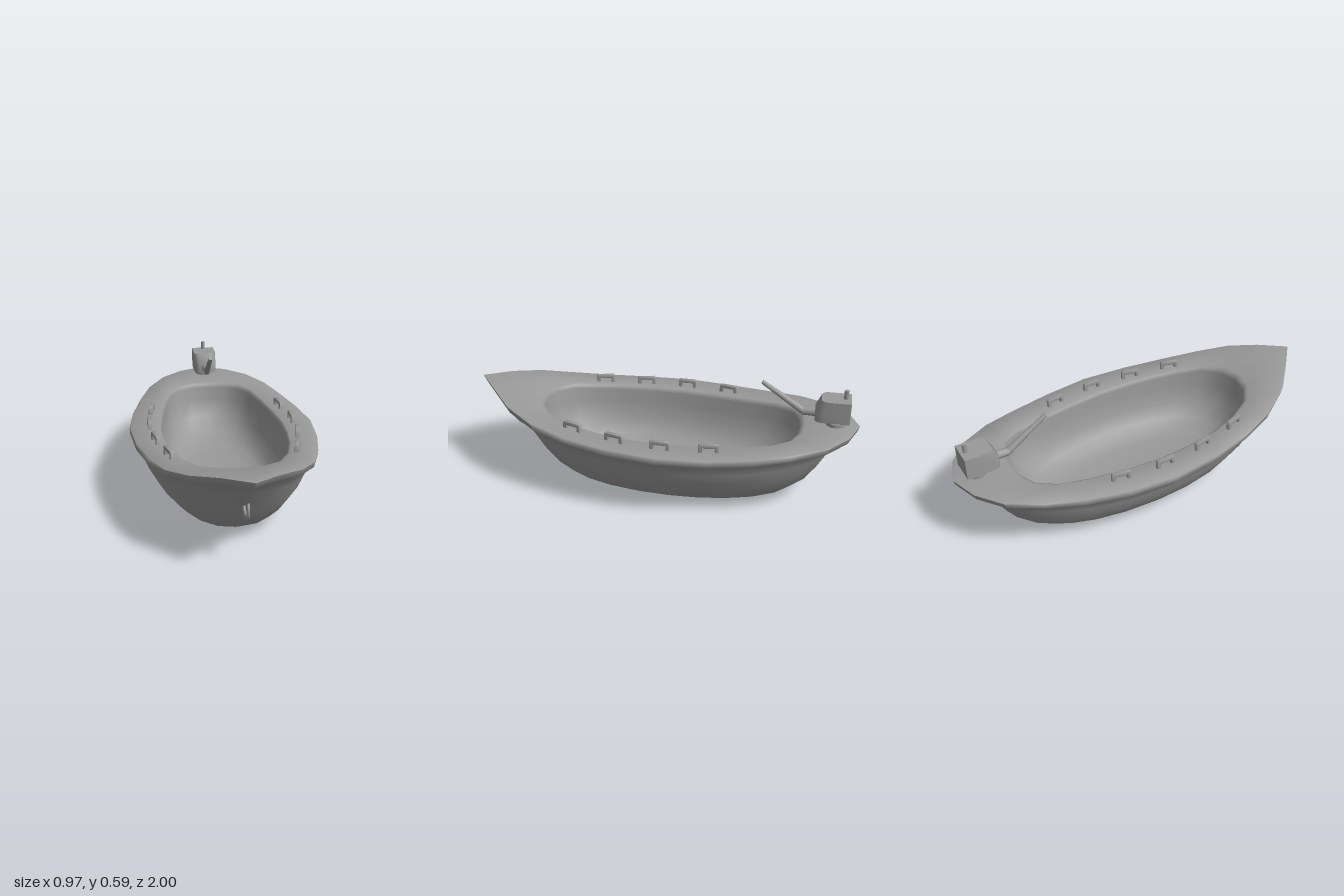
import * as THREE from 'three';
import { toCreasedNormals } from 'three/addons/utils/BufferGeometryUtils.js';

const mat = new THREE.MeshStandardMaterial({ color: 0x999999, side: THREE.DoubleSide });
const { lerp } = THREE.MathUtils;

// Half plans from stern to bow, as [x, z]
const rimPlan = [[0, -1], [0.14, -0.95], [0.26, -0.85], [0.35, -0.69], [0.41, -0.51], [0.46, -0.29],
  [0.485, -0.05], [0.46, 0.2], [0.41, 0.42], [0.345, 0.61], [0.25, 0.77], [0.13, 0.885], [0, 1]];
const wellPlan = [[0, -0.71], [0.1, -0.7], [0.185, -0.66], [0.24, -0.57], [0.275, -0.42], [0.305, -0.23],
  [0.322, -0.04], [0.316, 0.12], [0.295, 0.28], [0.255, 0.43], [0.19, 0.56], [0.1, 0.63], [0, 0.65]];
const LAST = rimPlan.length - 1;
// Height of the gunwale along z
const sheerLine = [[-1, 0.385], [-0.9, 0.375], [-0.7, 0.365], [-0.5, 0.35], [-0.3, 0.345], [0, 0.35], [0.2, 0.356],
  [0.42, 0.37], [0.61, 0.395], [0.77, 0.435], [0.885, 0.469], [1, 0.49]];

function sheer(z) {
  for (let i = 1; i < sheerLine.length; i++) {
    const [z0, y0] = sheerLine[i - 1], [z1, y1] = sheerLine[i];
    if (z <= z1) return lerp(y0, y1, Math.max(0, (z - z0) / (z1 - z0)));
  }
  return 0.49;
}

// Mirrors a half ring into a closed ring
const closeRing = half => [...half, ...half.slice(1, -1).reverse().map(([x, y, z]) => [-x, y, z])];

// Rounded unit plan that the sharper plans blend into
function roundPlan(i) {
  const a = i / LAST * Math.PI;
  return [i % LAST ? Math.pow(Math.sin(a), 0.85) : 0, -Math.cos(a)];
}

// Hull ring: half width, stern z, bow z, height, share of sheer, roundness of plan
function hullRing([w, z0, z1, y, k, round]) {
  return closeRing(rimPlan.map(([px, pz], i) => {
    const [rx, rz] = roundPlan(i);
    const z = lerp(z0, z1, (lerp(pz, rz, round) + 1) / 2);
    return [w * lerp(px / 0.485, rx, round), y + k * (sheer(z) - 0.35), z];
  }));
}

// Well ring: plan scale, height, share of sheer, roundness of plan
function wellRing([s, y, k, round]) {
  return closeRing(wellPlan.map(([px, pz], i) => {
    const [rx, rz] = roundPlan(i);
    const z = -0.03 + s * lerp(pz + 0.03, rz * 0.68, round);
    return [s * lerp(px, rx * 0.322, round), y + k * (sheer(z) - 0.35), z];
  }));
}

function loft(rings) {
  const n = rings[0].length, idx = [], last = rings.length - 2;
  for (let r = 0; r <= last; r++) {
    for (let i = 0; i < n; i++) {
      const a = r * n + i, b = r * n + (i + 1) % n, c = a + n, d = b + n;
      if (r > 0) idx.push(a, c, b);
      if (r < last) idx.push(b, c, d);
      else if (r === 0) idx.push(a, c, d);
    }
  }
  const g = new THREE.BufferGeometry();
  g.setAttribute('position', new THREE.Float32BufferAttribute(rings.flat(2), 3));
  g.setIndex(idx);
  return toCreasedNormals(g, 1.15);
}

function add(parent, name, geometry) {
  const m = new THREE.Mesh(geometry, mat);
  m.name = name;
  parent.add(m);
  return m;
}

const shapeOf = points => new THREE.Shape(points.map(p => new THREE.Vector2(...p)));

// Arched grab handle lying along z, with slightly softened edges
function handleGeometry() {
  const arch = shapeOf([[-0.05, -0.02], [-0.05, 0.043], [-0.043, 0.05], [0.043, 0.05], [0.05, 0.043],
    [0.05, -0.02], [0.03, -0.02], [0.03, 0.03], [-0.03, 0.03], [-0.03, -0.02]]);
  const g = new THREE.ExtrudeGeometry(arch, { depth: 0.014, bevelSize: 0.004, bevelOffset: -0.004,
    bevelThickness: 0.004, bevelSegments: 2 });
  return toCreasedNormals(g.translate(0, 0, -0.007).rotateY(-Math.PI / 2), 0.9);
}

// Motor cover: plan with a rounded front, its top front edge sloped back
function housingGeometry() {
  const plan = shapeOf([[-0.065, -0.945], [0.065, -0.945], [0.065, -0.81], [0.058, -0.785], [0.038, -0.772],
    [-0.038, -0.772], [-0.058, -0.785], [-0.065, -0.81]]);
  const g = new THREE.ExtrudeGeometry(plan, { depth: 0.113, steps: 2, bevelEnabled: false });
  g.rotateX(Math.PI / 2).translate(0, 0.525, 0);
  const p = g.attributes.position;
  for (let i = 0; i < p.count; i++) {
    if (p.getY(i) > 0.52) p.setZ(i, -0.945 + (p.getZ(i) + 0.945) * 0.84);
  }
  return toCreasedNormals(g, 0.9);
}

// Tapered rod in the x = 0 plane between (z, y) points
function rod(parent, name, [z0, y0], [z1, y1], r0, r1) {
  const dir = new THREE.Vector3(0, y1 - y0, z1 - z0);
  const m = add(parent, name, new THREE.CylinderGeometry(r1, r0, dir.length(), 12));
  m.position.set(0, (y0 + y1) / 2, (z0 + z1) / 2);
  m.quaternion.setFromUnitVectors(new THREE.Vector3(0, 1, 0), dir.normalize());
}

export function createModel() {
  const boat = new THREE.Group();
  boat.name = 'boat';

  // Hull shell: underside, sides, rounded gunwale lip, deck, then the inner well
  add(boat, 'hull', loft([
    ...[[0, -0.07, -0.07, 0, 0, 1],
      [0.2, -0.54, 0.4, 0, 0, 1],
      [0.25, -0.63, 0.48, 0.012, 0, 1],
      [0.3, -0.69, 0.54, 0.045, 0, 1],
      [0.36, -0.77, 0.62, 0.11, 0.1, 0.95],
      [0.41, -0.83, 0.7, 0.19, 0.4, 0.85],
      [0.435, -0.875, 0.78, 0.25, 0.9, 0.65],
      [0.455, -0.915, 0.87, 0.303, 1, 0.35],
      [0.472, -0.965, 0.945, 0.307, 1, 0.08],
      [0.484, -0.99, 0.985, 0.318, 1, 0],
      [0.485, -1, 1, 0.346, 1, 0],
      [0.48, -0.993, 0.99, 0.35, 1, 0]].map(hullRing),
    ...[[1.03, 0.35, 1, 0], [1, 0.344, 1, 0], [0.99, 0.325, 1, 0], [0.985, 0.26, 0.6, 0.15],
      [0.93, 0.17, 0.2, 0.5], [0.82, 0.1, 0, 0.8], [0.68, 0.065, 0, 1], [0.5, 0.05, 0, 1],
      [0, 0.05, 0, 1]].map(wellRing),
  ]));

  // Grab handles along both side decks: x, z, turn
  const handleGeo = handleGeometry();
  for (const [x, z, turn] of [[0.357, -0.29, 0.17], [0.38, -0.055, 0], [0.36, 0.178, -0.22], [0.31, 0.405, -0.29]]) {
    for (const side of [1, -1]) {
      const h = add(boat, side > 0 ? 'leftGrabHandle' : 'rightGrabHandle', handleGeo);
      h.position.set(side * x, sheer(z) - 0.007, z);
      h.rotation.y = side * turn;
    }
  }

  // Hook under the bow
  const hookPath = new THREE.CatmullRomCurve3([[0.25, 0.7], [0.222, 0.745], [0.223, 0.79], [0.25, 0.828],
    [0.28, 0.834], [0.307, 0.822]].map(([y, z]) => new THREE.Vector3(0, y, z)));
  const hook = add(boat, 'bowHook', new THREE.TubeGeometry(hookPath, 24, 0.012, 8));
  hook.scale.x = 0.65;

  // Outboard motor on the stern deck
  const motor = new THREE.Group();
  motor.name = 'motor';
  boat.add(motor);
  add(motor, 'motorHousing', housingGeometry());
  rod(motor, 'motorNeck', [-0.88, 0.36], [-0.88, 0.42], 0.035, 0.035);
  rod(motor, 'motorFlange', [-0.88, 0.382], [-0.88, 0.4], 0.052, 0.052);
  rod(motor, 'motorKnob', [-0.918, 0.52], [-0.918, 0.57], 0.012, 0.012);
  rod(motor, 'tillerArm', [-0.79, 0.442], [-0.708, 0.44], 0.024, 0.02);
  rod(motor, 'tillerHandle', [-0.722, 0.434], [-0.502, 0.58], 0.019, 0.011);
  return boat;
}
